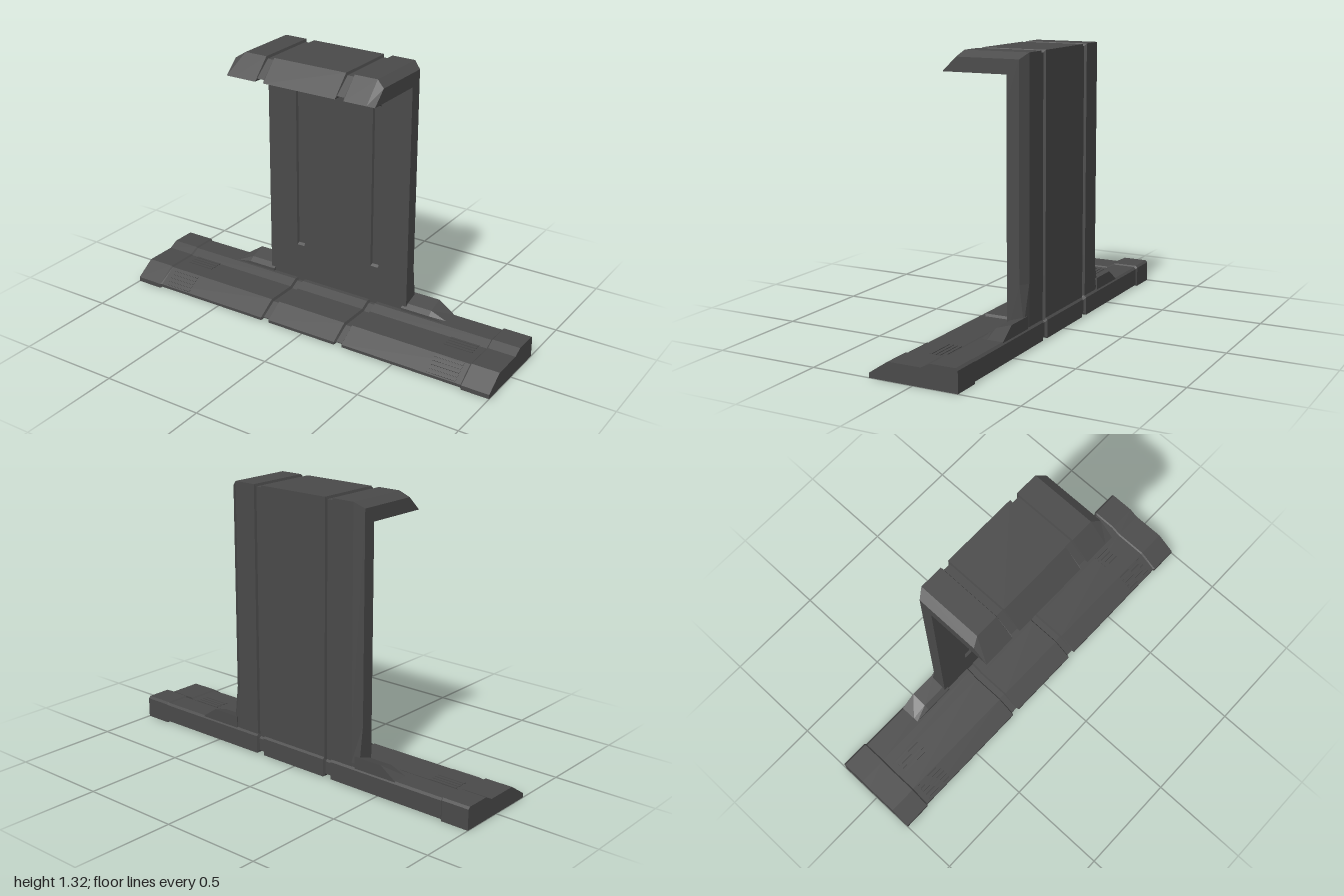
import * as THREE from 'three';

const material = new THREE.MeshStandardMaterial({ color: 0x4a4a4a, flatShading: true, side: THREE.DoubleSide });

// Skin [x, profile] stations (x rising, profile of [z, y] points counter-clockwise) and close both ends.
function loft(name, stations) {
  const pos = [];
  const put = ([x, pts], i) => pos.push(x, pts[i][1], pts[i][0]);
  const n = stations[0][1].length;
  for (let s = 0; s < stations.length - 1; s++) {
    const a = stations[s], b = stations[s + 1];
    for (let i = 0; i < n; i++) {
      const j = (i + 1) % n;
      put(a, i); put(b, i); put(b, j);
      put(a, i); put(b, j); put(a, j);
    }
  }
  const cap = (st, flip) => {
    const contour = st[1].map(([z, y]) => new THREE.Vector2(z, y));
    for (const f of THREE.ShapeUtils.triangulateShape(contour, [])) {
      (flip ? [f[0], f[2], f[1]] : f).forEach((i) => put(st, i));
    }
  };
  cap(stations[0], false);
  cap(stations[stations.length - 1], true);
  const geometry = new THREE.BufferGeometry();
  geometry.setAttribute('position', new THREE.Float32BufferAttribute(pos, 3));
  geometry.computeVertexNormals();
  const mesh = new THREE.Mesh(geometry, material);
  mesh.name = name;
  return mesh;
}

// Turn stations for x > 0 into a full symmetric list.
const mirrored = (half) => [...half.map(([x, p]) => [-x, p]).reverse(), ...half];

// Base cross-section, shrunk by d.
const baseProfile = (d) => [
  [0.215 - d, d], [0.215 - d, 0.022 - d / 3], [0.12 - d / 2, 0.085 - d], [-0.04 - d / 2, 0.085 - d],
  [-0.085 - d / 2, 0.108 - d], [-0.205 + d, 0.108 - d], [-0.215 + d, 0.098 - d], [-0.215 + d, d],
];

// Upright and canopy cross-section: c = edge chamfer, g = groove depth.
const uprightProfile = (c, g) => [
  [-0.11, 0.07], [-0.11, 0.285], [-0.11 - g, 0.295], [-0.11 - g, 1.1], [-0.11, 1.11], [-0.11, 1.225 + g],
  [0.21 - g, 1.225 + g], [0.12 + c * 0.7 - g / 2, 1.32 - c - g], [-0.2 + c + g, 1.32 - c - g],
  [-0.2 + c + g, 0.3], [-0.2 + c * 0.2 + g, 0.12], [-0.2 + c * 0.2 + g, 0.07],
];

export function createModel() {
  const model = new THREE.Group();
  model.name = 'standWithCanopy';

  // Base with raised end caps and two joint grooves
  const body = baseProfile(0.006), groove = baseProfile(0.018), endCap = baseProfile(0);
  model.add(loft('base', mirrored([
    [0.188, body], [0.194, groove], [0.226, groove], [0.232, body],
    [0.855, body], [0.862, endCap], [1, endCap],
  ])));

  // Upright bending forward into the canopy
  const flat = uprightProfile(0, 0), cut = uprightProfile(0, 0.012);
  model.add(loft('uprightAndCanopy', mirrored([
    [0.19, flat], [0.194, cut], [0.23, cut], [0.234, flat],
    [0.35, flat], [0.392, uprightProfile(0.028, 0)],
  ])));

  // Brackets beside the foot of the upright
  const bracketHigh = [[-0.1, 0.095], [-0.1, 0.115], [-0.125, 0.133], [-0.203, 0.157], [-0.203, 0.095]];
  const bracketLow = bracketHigh.map(([z, y]) => [z, Math.min(y, 0.102)]);
  model.add(loft('leftBracket', [[0.37, bracketHigh], [0.52, bracketHigh], [0.6, bracketLow]]));
  model.add(loft('rightBracket', [[-0.6, bracketLow], [-0.52, bracketHigh], [-0.37, bracketHigh]]));

  // Vent slats on the front slope and the deck
  for (const side of [-1, 1]) {
    const vents = new THREE.Group();
    vents.name = side > 0 ? 'leftVents' : 'rightVents';
    const slat = new THREE.BoxGeometry(0.145, 0.006, 0.011);
    for (let i = 0; i < 5; i++) {
      const t = (i + 0.5) / 5;
      const front = new THREE.Mesh(slat, material);
      front.name = 'frontSlat';
      front.position.set(side * 0.755, 0.021 + 0.056 * t, 0.207 - 0.088 * t);
      front.rotation.x = 0.58;
      vents.add(front);
    }
    for (let i = 0; i < 4; i++) {
      const deck = new THREE.Mesh(slat, material);
      deck.name = 'deckSlat';
      deck.position.set(side * 0.745, 0.079, 0.025 - 0.021 * i);
      vents.add(deck);
    }
    model.add(vents);
  }
  return model;
}
